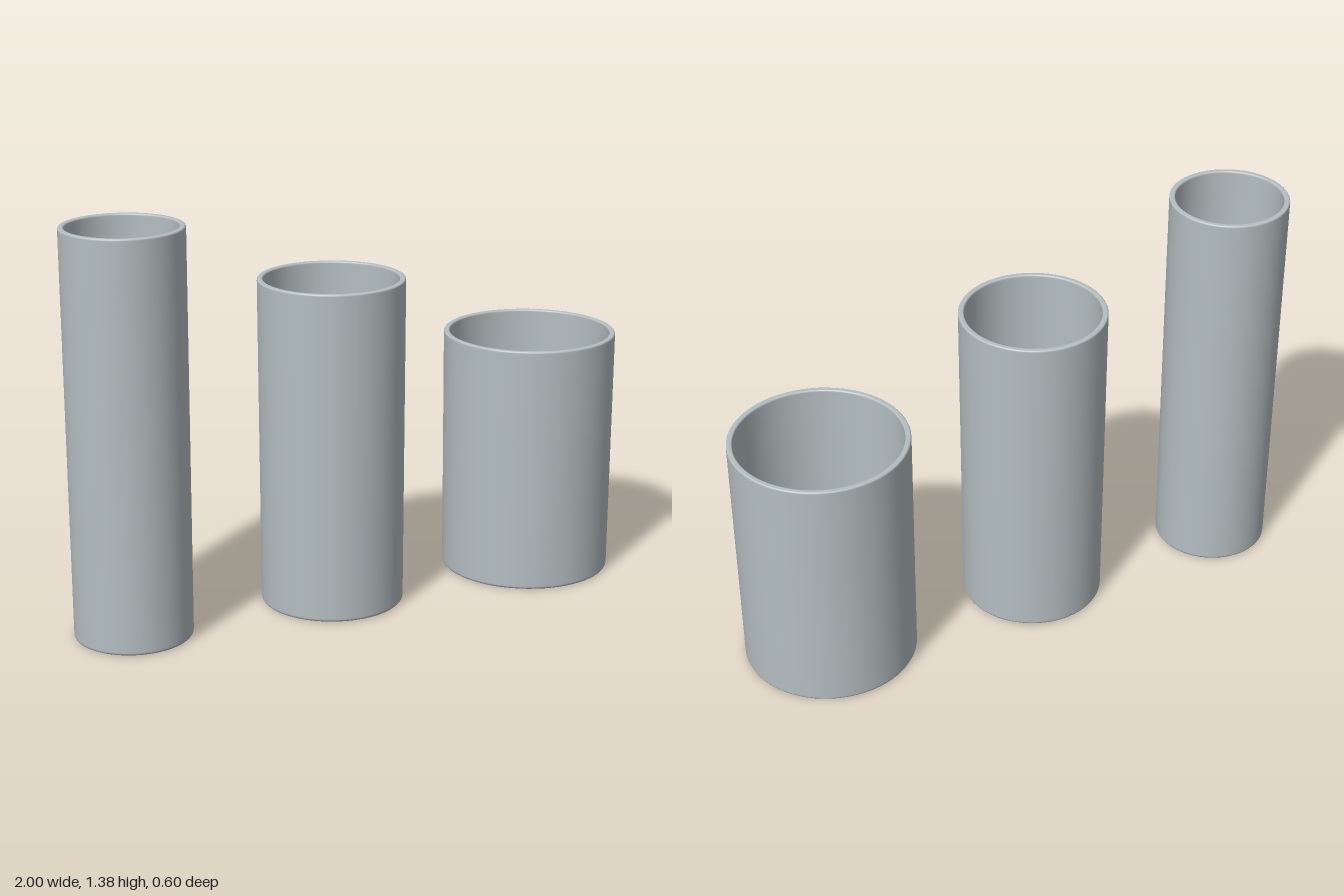
import * as THREE from 'three';

const glaze = new THREE.MeshStandardMaterial({ color: 0xb4bec1 });
glaze.name = 'pale blue grey';

// Open cup: one closed wall profile, with small rounds at base, rim and inner floor
function makeCup(name, x, radius, height) {
  const wall = 0.02, floor = 0.02, foot = radius - 0.004, inner = radius - wall;
  const profile = [];
  const add = (r, y) => profile.push(new THREE.Vector2(r, y));
  const round = (cx, cy, size, from, to, steps = 5) => {
    for (let i = 0; i <= steps; i++) {
      const a = THREE.MathUtils.lerp(from, to, i / steps);
      add(cx + size * Math.cos(a), cy + size * Math.sin(a));
    }
  };
  const q = Math.PI / 2;
  add(0, 0);
  add(foot - 0.014, 0);                                  // flat underside
  round(foot - 0.01, 0.01, 0.01, -q, 0);                 // base edge
  add(foot, 0.014);
  add(radius, height - 0.01);                            // outer wall
  round(radius - 0.006, height - 0.006, 0.006, 0, q);    // rim, outside
  round(inner + 0.006, height - 0.006, 0.006, q, 2 * q); // rim, inside
  add(inner, height - 0.01);
  add(inner - 0.004, floor + 0.016);                     // inner wall
  round(inner - 0.016, floor + 0.012, 0.012, 0, -q);     // inner floor edge
  add(inner - 0.02, floor);
  add(0, floor);
  const cup = new THREE.Mesh(new THREE.LatheGeometry(profile, 64), glaze);
  cup.name = name;
  cup.position.x = x;
  return cup;
}

export function createModel() {
  const group = new THREE.Group();
  group.name = 'cupSet';
  group.add(
    makeCup('tallNarrowCup', -0.799, 0.201, 1.375),
    makeCup('mediumCup', -0.068, 0.247, 1.13),
    makeCup('shortWideCup', 0.702, 0.298, 0.858)
  );
  return group;
}
